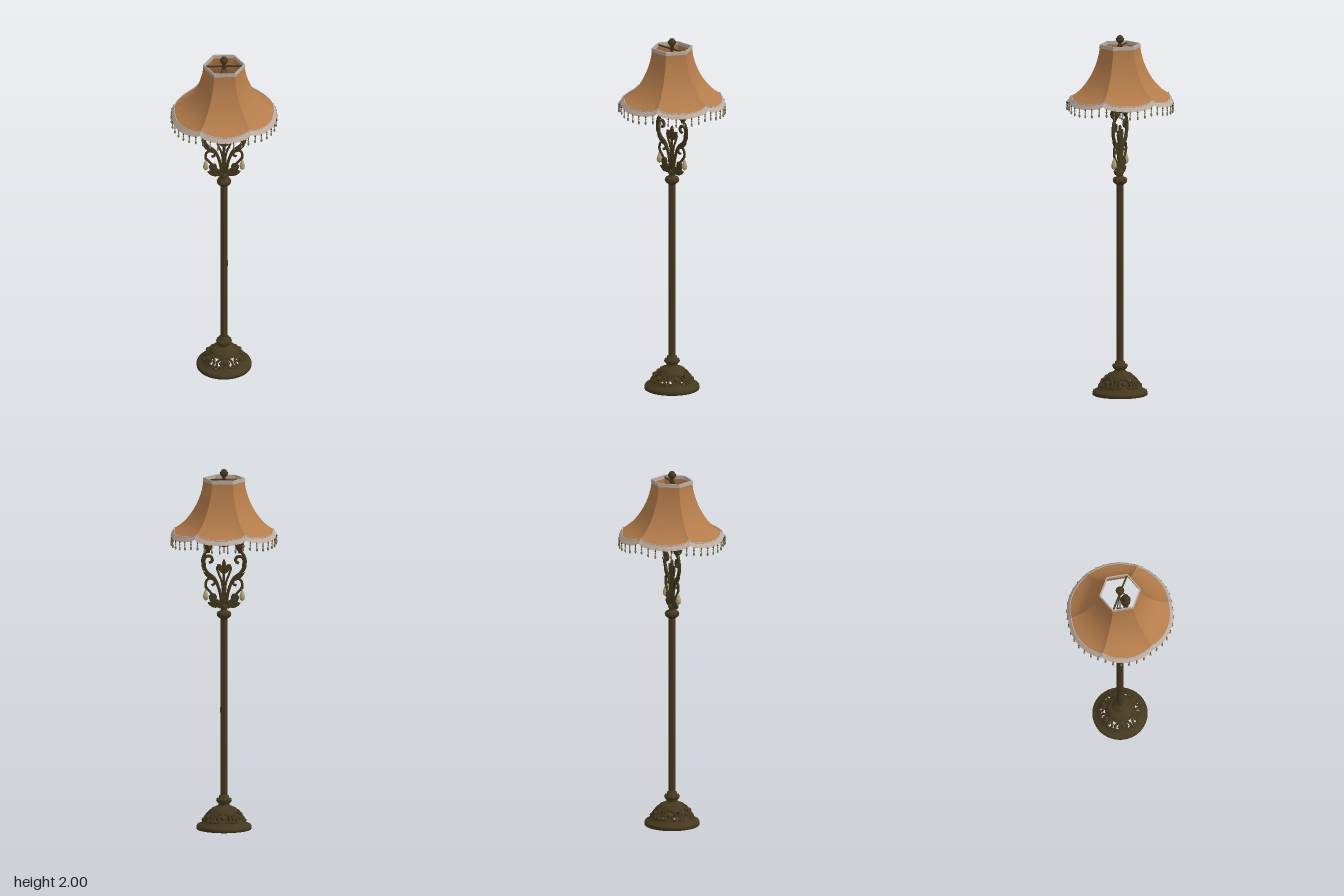
import * as THREE from 'three';
import { mergeGeometries } from 'three/addons/utils/BufferGeometryUtils.js';

const mat = (name, color, side = THREE.FrontSide) => {
  const m = new THREE.MeshStandardMaterial({ color, side });
  m.name = name;
  return m;
};

export function createModel() {
  const bronze = mat('dark bronze', 0x45391f, THREE.DoubleSide);
  const fabric = mat('amber fabric', 0xb47c4b, THREE.DoubleSide);
  const trim = mat('pale trim', 0xbfaea2, THREE.DoubleSide);
  const bead = mat('smoky bead', 0x857a5c);
  const crystal = mat('crystal drop', 0xb8a67c);

  const model = new THREE.Group();
  model.name = 'floorLamp';
  const add = (name, geo, material, parent = model) => {
    const mesh = new THREE.Mesh(geo, material);
    mesh.name = name;
    parent.add(mesh);
    return mesh;
  };
  const lathe = (pts, seg = 32, start = 0, len = Math.PI * 2) =>
    new THREE.LatheGeometry(pts.map(([r, y]) => new THREE.Vector2(r, y)), seg, start, len);
  const tube = (pts, r, seg = 28) => new THREE.TubeGeometry(
    new THREE.CatmullRomCurve3(pts.map(([x, y, z = 0]) => new THREE.Vector3(x, y, z))), seg, r, 7);
  const ball = (r, x, y, z = 0) => new THREE.SphereGeometry(r, 10, 8).translate(x, y, z);
  // Squashed, pointed leaf lying in the xy plane
  const leaf = (x, y, length, width, angle) => {
    const s = new THREE.Shape();
    s.moveTo(0, 0);
    s.bezierCurveTo(width, length * 0.25, width * 0.8, length * 0.7, 0, length);
    s.bezierCurveTo(-width * 0.8, length * 0.7, -width, length * 0.25, 0, 0);
    return new THREE.ExtrudeGeometry(s, { depth: 0.006, bevelThickness: 0.004, bevelSize: 0.003, bevelSegments: 2, curveSegments: 8 })
      .translate(0, 0, -0.003).rotateZ(angle).translate(x, y, 0);
  };

  // Hollow pierced base
  const base = new THREE.Group();
  base.name = 'base';
  model.add(base);
  add('baseRim', lathe([[0.13, 0], [0.15, 0], [0.152, 0.012], [0.147, 0.024], [0.132, 0.028], [0.124, 0.036], [0.116, 0.046]], 48), bronze, base);
  add('baseCrown', lathe([[0.084, 0.088], [0.074, 0.102], [0.066, 0.116], [0.046, 0.124], [0.034, 0.13], [0.028, 0.14], [0.038, 0.148],
    [0.043, 0.158], [0.04, 0.168], [0.026, 0.174], [0.027, 0.184], [0.018, 0.19]], 40), bronze, base);
  const panels = [], scrolls = [];
  for (let i = 0; i < 6; i++) {
    const a = i * Math.PI / 3;
    panels.push(lathe([[0.116, 0.046], [0.108, 0.062], [0.097, 0.077], [0.084, 0.088]], 8, a - 0.25, 0.5));
    const onDome = (da, y) => {
      const r = 0.121 - (y - 0.04) * 0.72;
      return [r * Math.sin(a + da), y, r * Math.cos(a + da)];
    };
    for (const s of [-1, 1]) {
      scrolls.push(tube([onDome(s * 0.08, 0.098), onDome(s * 0.3, 0.088), onDome(s * 0.44, 0.068), onDome(s * 0.36, 0.05),
        onDome(s * 0.2, 0.054), onDome(s * 0.2, 0.07), onDome(s * 0.29, 0.07)], 0.007));
    }
    scrolls.push(ball(0.014, ...onDome(0, 0.072)), ball(0.01, ...onDome(Math.PI / 6, 0.05)));
  }
  add('basePanels', mergeGeometries(panels), bronze, base);
  add('baseScrolls', mergeGeometries(scrolls), bronze, base);

  // Reeded pole
  const pole = new THREE.CylinderGeometry(0.018, 0.018, 1.0, 60, 1, true);
  const pp = pole.attributes.position;
  for (let i = 0; i < pp.count; i++) {
    const k = 1 + 0.06 * Math.cos(12 * Math.atan2(pp.getZ(i), pp.getX(i)));
    pp.setXYZ(i, pp.getX(i) * k, pp.getY(i), pp.getZ(i) * k);
  }
  pole.computeVertexNormals();
  add('pole', pole.translate(0, 0.685, 0), bronze);
  add('poleSwitch', new THREE.BoxGeometry(0.012, 0.03, 0.014).translate(0.015, 0.66, 0), bronze);
  add('poleCap', lathe([[0.018, 1.165], [0.026, 1.172], [0.037, 1.182], [0.04, 1.194], [0.034, 1.206], [0.02, 1.212],
    [0.016, 1.222], [0.022, 1.232], [0.016, 1.246], [0, 1.25]]), bronze);

  // Central stem with a three-petal flower
  add('centreStem', tube([[0, 1.23], [0, 1.35], [0, 1.47]], 0.007, 8), bronze);
  add('centreFlower', mergeGeometries([leaf(0, 1.435, 0.06, 0.013, 0), leaf(0, 1.24, 0.09, 0.022, 0)]), bronze);

  // Mirrored scroll arms
  for (const side of [1, -1]) {
    const arm = new THREE.Group();
    arm.name = side > 0 ? 'leftArm' : 'rightArm';
    model.add(arm);
    const m = pts => pts.map(([x, y]) => [x * side, y]);
    add('mainScroll', tube(m([[0.012, 1.24], [0.024, 1.32], [0.052, 1.39], [0.092, 1.425], [0.112, 1.47], [0.1, 1.51],
      [0.073, 1.512], [0.064, 1.488], [0.082, 1.476]]), 0.0085, 48), bronze, arm);
    add('upperScroll', tube(m([[0.11, 1.45], [0.118, 1.49], [0.106, 1.525], [0.087, 1.545]]), 0.008), bronze, arm);
    add('lowerScroll', tube(m([[0.014, 1.25], [0.045, 1.275], [0.072, 1.31], [0.1, 1.348], [0.09, 1.385], [0.06, 1.388],
      [0.05, 1.362], [0.068, 1.352]]), 0.007, 40), bronze, arm);
    add('innerScroll', tube(m([[0.004, 1.28], [0.012, 1.37], [0.03, 1.42], [0.038, 1.45], [0.024, 1.466], [0.014, 1.45], [0.024, 1.443]]), 0.006, 36), bronze, arm);
    add('footScroll', tube(m([[0.008, 1.228], [0.04, 1.25], [0.068, 1.265], [0.074, 1.292], [0.052, 1.3], [0.044, 1.28]]), 0.0075), bronze, arm);
    add('leaves', mergeGeometries([
      leaf(0.012 * side, 1.225, 0.085, 0.02, -0.75 * side), leaf(0.03 * side, 1.235, 0.06, 0.018, -1.25 * side),
      leaf(0.05 * side, 1.38, 0.075, 0.014, -0.95 * side), leaf(0.108 * side, 1.43, 0.075, 0.014, -0.1 * side),
      leaf(0.006 * side, 1.42, 0.055, 0.011, -0.55 * side)]), bronze, arm);
    // Lamp cup, candle and support rod
    add('cup', lathe([[0, 1.53], [0.008, 1.532], [0.012, 1.545], [0.022, 1.555], [0.026, 1.572], [0.021, 1.588], [0.028, 1.606], [0.02, 1.61],
      [0.016, 1.612], [0.016, 1.655], [0, 1.657]], 20).translate(0.087 * side, 0, 0), bronze, arm);
    add('supportRod', tube(m([[0.087, 1.65], [0.075, 1.73], [0.04, 1.83], [0.004, 1.93]]), 0.003), bronze, arm);
    // Hanging crystal
    add('crystalHook', new THREE.TorusGeometry(0.006, 0.0018, 6, 12).translate(0.1 * side, 1.341, 0), bronze, arm);
    add('crystalDrop', lathe([[0, 1.265], [0.011, 1.273], [0.016, 1.287], [0.012, 1.305], [0.006, 1.322], [0, 1.336]], 12).translate(0.1 * side, 0, 0), crystal, arm);
  }

  // Hanging central socket, top spider and finial
  add('centreSocket', lathe([[0, 1.53], [0.004, 1.535], [0.004, 1.565], [0.02, 1.57], [0.024, 1.58], [0.024, 1.64], [0.018, 1.66], [0.008, 1.67], [0.004, 1.69], [0.004, 1.94]], 20), bronze);
  add('topSpider', new THREE.BoxGeometry(0.215, 0.006, 0.009).translate(0, 1.938, 0), bronze);
  add('finial', lathe([[0, 1.93], [0.014, 1.935], [0.012, 1.946], [0.007, 1.952], [0.02, 1.966], [0.024, 1.978], [0.016, 1.988], [0.012, 1.995], [0, 2]], 16), bronze);

  // Shade: six panels that pass from a hexagon at the top to a scalloped round hem
  const profile = new THREE.CatmullRomCurve3([[0.112, 1.945], [0.12, 1.89], [0.143, 1.82], [0.182, 1.75], [0.228, 1.698], [0.27, 1.668]]
    .map(([r, y]) => new THREE.Vector3(r, y, 0)));
  const shadePoint = (panel, u, t) => {
    const phi = (u - 0.5) * Math.PI / 3, a = (panel + u) * Math.PI / 3;
    const p = profile.getPoint(t), bulge = Math.cos(3 * phi);
    const flat = p.x * Math.cos(Math.PI / 6) / Math.cos(phi);
    const r = THREE.MathUtils.lerp(flat, p.x + 0.006 * bulge, t ** 5);
    const y = p.y - 0.026 * Math.sqrt(Math.max(bulge, 0)) * t ** 3;
    return [r, y, a];
  };
  const panel = (nu, nv, fn) => {
    const g = new THREE.PlaneGeometry(1, 1, nu, nv), p = g.attributes.position;
    for (let i = 0; i < p.count; i++) {
      const [r, y, a] = fn(p.getX(i) + 0.5, 0.5 - p.getY(i));
      p.setXYZ(i, r * Math.sin(a + Math.PI / 2), y, r * Math.cos(a + Math.PI / 2));
    }
    g.computeVertexNormals();
    return g;
  };
  const cloth = [], hem = [], piping = [], strings = [], drops = [];
  for (let k = 0; k < 6; k++) {
    cloth.push(panel(18, 18, (u, t) => shadePoint(k, u, t)));
    hem.push(panel(18, 2, (u, t) => {
      const [r, y, a] = shadePoint(k, u, 1);
      return [r + 0.018 * t, y + 0.004 - 0.026 * t, a];
    }));
    const edge = [];
    for (let i = 0; i <= 12; i++) {
      const [r, y, a] = shadePoint(k, i / 12, 1);
      edge.push([(r + 0.001) * Math.cos(a), y + 0.004, -(r + 0.001) * Math.sin(a)]);
    }
    piping.push(tube(edge, 0.0028, 24));
    // Beaded fringe, seven strings on each scallop
    for (let i = 0; i < 7; i++) {
      const [r, y, a] = shadePoint(k, (i + 0.5) / 7, 1);
      const x = (r + 0.017) * Math.cos(a), z = -(r + 0.017) * Math.sin(a), top = y - 0.02;
      strings.push(new THREE.CylinderGeometry(0.0015, 0.0015, 0.045, 5).translate(x, top - 0.02, z), ball(0.004, x, top - 0.006, z));
      drops.push(ball(0.0045, x, top - 0.018, z),
        new THREE.SphereGeometry(0.0055, 8, 8).scale(1, 2, 1).translate(x, top - 0.038, z));
    }
  }
  add('shade', mergeGeometries(cloth), fabric);
  add('shadeHem', mergeGeometries(hem), trim);
  add('shadePiping', mergeGeometries(piping), trim);
  add('fringeStrings', mergeGeometries(strings), bronze);
  add('fringeBeads', mergeGeometries(drops), bead);

  // Hexagonal band around the shade opening
  const band = lathe([[0.108, 1.93], [0.116, 1.93], [0.115, 1.95], [0.108, 1.95], [0.108, 1.93]], 6).toNonIndexed();
  band.computeVertexNormals();
  add('shadeTopBand', band.rotateY(Math.PI / 6), trim);
  return model;
}
